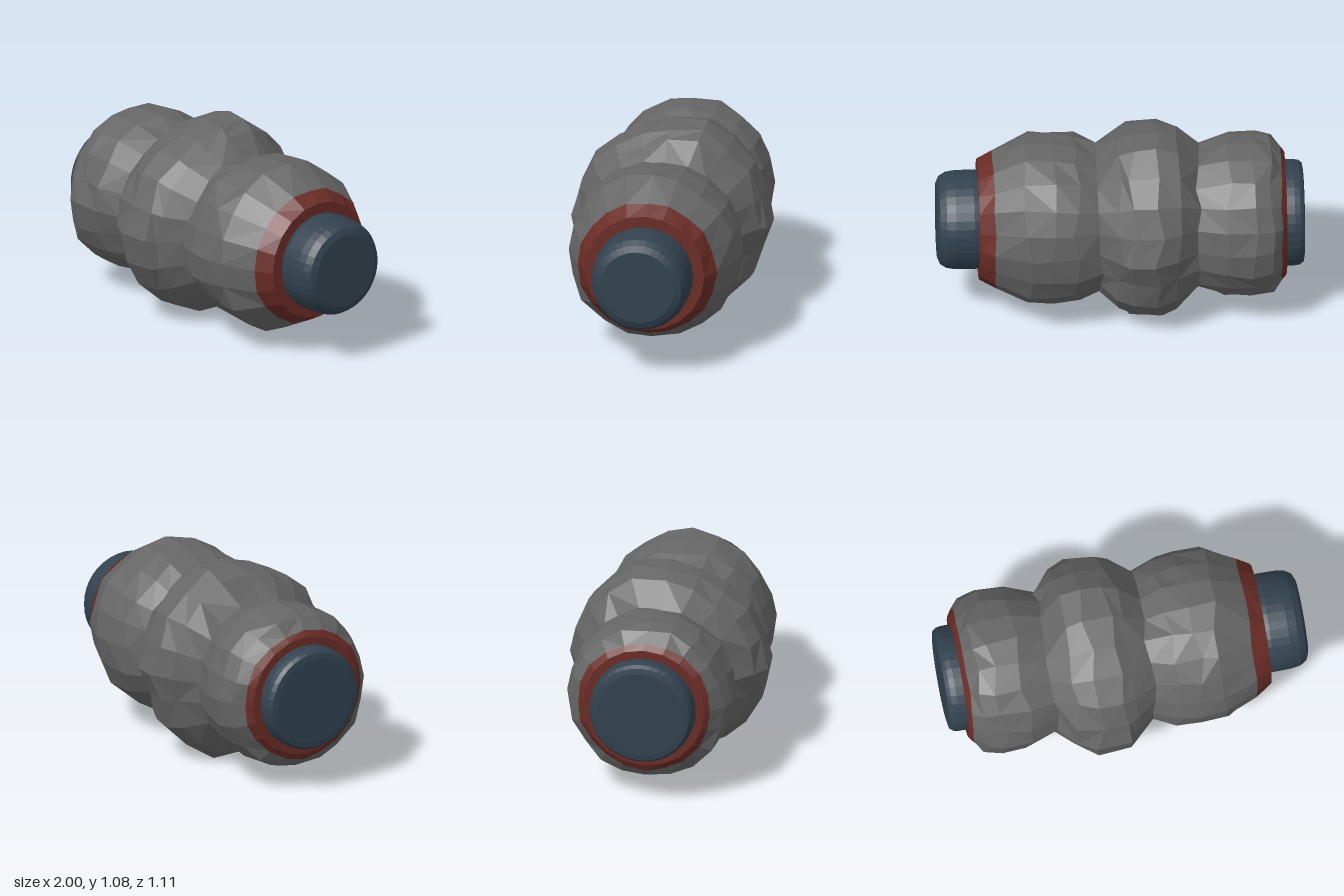
import * as THREE from 'three';

const AXIS_Y = 0.54;
const SIDES = 20;
const paint = (color) => new THREE.MeshStandardMaterial({ color, flatShading: true });

// Repeatable value in -1..1 for a station and a side
function noise(a, b) {
  const s = Math.sin(a * 127.1 + b * 311.7) * 43758.5453;
  return (s - Math.floor(s)) * 2 - 1;
}

// Radius of the middle boulder, every 18 degrees from the top towards +z
const MIDDLE = [0.54, 0.525, 0.53, 0.552, 0.54, 0.56, 0.557, 0.545, 0.545, 0.533,
  0.525, 0.565, 0.546, 0.545, 0.515, 0.55, 0.536, 0.544, 0.55, 0.575];

// Faceted skin around the x axis; stations are [x, radius, radius jitter, x jitter, follows MIDDLE]
function skin(stations) {
  const pos = [], index = [];
  stations.forEach(([x, r, jr, jx, mid]) => {
    for (let j = 0; j < SIDES; j++) {
      const a = (j / SIDES) * Math.PI * 2 + noise(x + 5, j) * jr * 2;
      const rad = r * (mid ? MIDDLE[j] / 0.545 : 1) + noise(x, j) * jr;
      pos.push(x + noise(x + 9, j) * jx, rad * Math.cos(a), rad * Math.sin(a));
    }
  });
  for (let i = 0; i < stations.length - 1; i++) {
    for (let j = 0; j < SIDES; j++) {
      const k = (j + 1) % SIDES;
      const a = i * SIDES + j, b = i * SIDES + k, c = a + SIDES, d = b + SIDES;
      // Alternating diagonals give irregular facets
      if (noise(i, j) > 0) index.push(a, b, c, c, b, d);
      else index.push(a, b, d, a, d, c);
    }
  }
  const geo = new THREE.BufferGeometry();
  geo.setAttribute('position', new THREE.Float32BufferAttribute(pos, 3));
  geo.setIndex(index);
  geo.computeVertexNormals();
  return geo;
}

// Round plug pointing along +x (dir 1) or -x (dir -1)
function plug(profile, dir) {
  const geo = new THREE.LatheGeometry(profile.map(([r, h]) => new THREE.Vector2(r, h)), 36);
  return geo.rotateZ(-dir * Math.PI / 2);
}

export function createModel() {
  const model = new THREE.Group();
  const add = (name, geo, material) => {
    const mesh = new THREE.Mesh(geo, material);
    mesh.name = name;
    mesh.position.y = AXIS_Y;
    model.add(mesh);
  };
  const stone = paint(0x666666), red = paint(0x6b2c26), blue = paint(0x32424f);

  // Seams shared by the stone and the red collars
  const leftSeam = [-0.875, 0.37, 0.008, 0.008];
  const rightSeam = [0.69, 0.382, 0.008, 0.008];

  // Three rocky bulges with two jagged necks
  add('rockBody', skin([
    leftSeam,
    [-0.82, 0.43, 0.014, 0.02],
    [-0.72, 0.452, 0.012, 0.03],
    [-0.58, 0.447, 0.01, 0.025],
    [-0.425, 0.395, 0.014, 0.022],
    [-0.31, 0.5, 0.016, 0.022, true],
    [-0.2, 0.542, 0.004, 0.03, true],
    [-0.06, 0.53, 0.006, 0.025, true],
    [0.01, 0.49, 0.014, 0.022, true],
    [0.12, 0.4, 0.012, 0.02],
    [0.25, 0.457, 0.014, 0.03],
    [0.38, 0.472, 0.008, 0.03],
    [0.51, 0.472, 0.014, 0.025],
    rightSeam,
  ]), stone);

  // Red collars at both ends
  add('leftCollar', skin([[-0.9, 0.2, 0, 0], [-0.9, 0.338, 0, 0], leftSeam]), red);
  add('rightCollar', skin([rightSeam, [0.775, 0.33, 0, 0], [0.775, 0.2, 0, 0]]), red);

  // Rounded end plugs
  add('leftPlug', plug([[0.29, 0.86], [0.29, 0.945], [0.285, 0.975],
    [0.27, 0.995], [0.24, 1], [0, 1]], -1), blue);
  add('rightPlug', plug([[0.262, 0.74], [0.272, 0.8], [0.27, 0.9], [0.262, 0.95],
    [0.24, 0.985], [0.205, 1], [0, 1]], 1), blue);

  return model;
}
